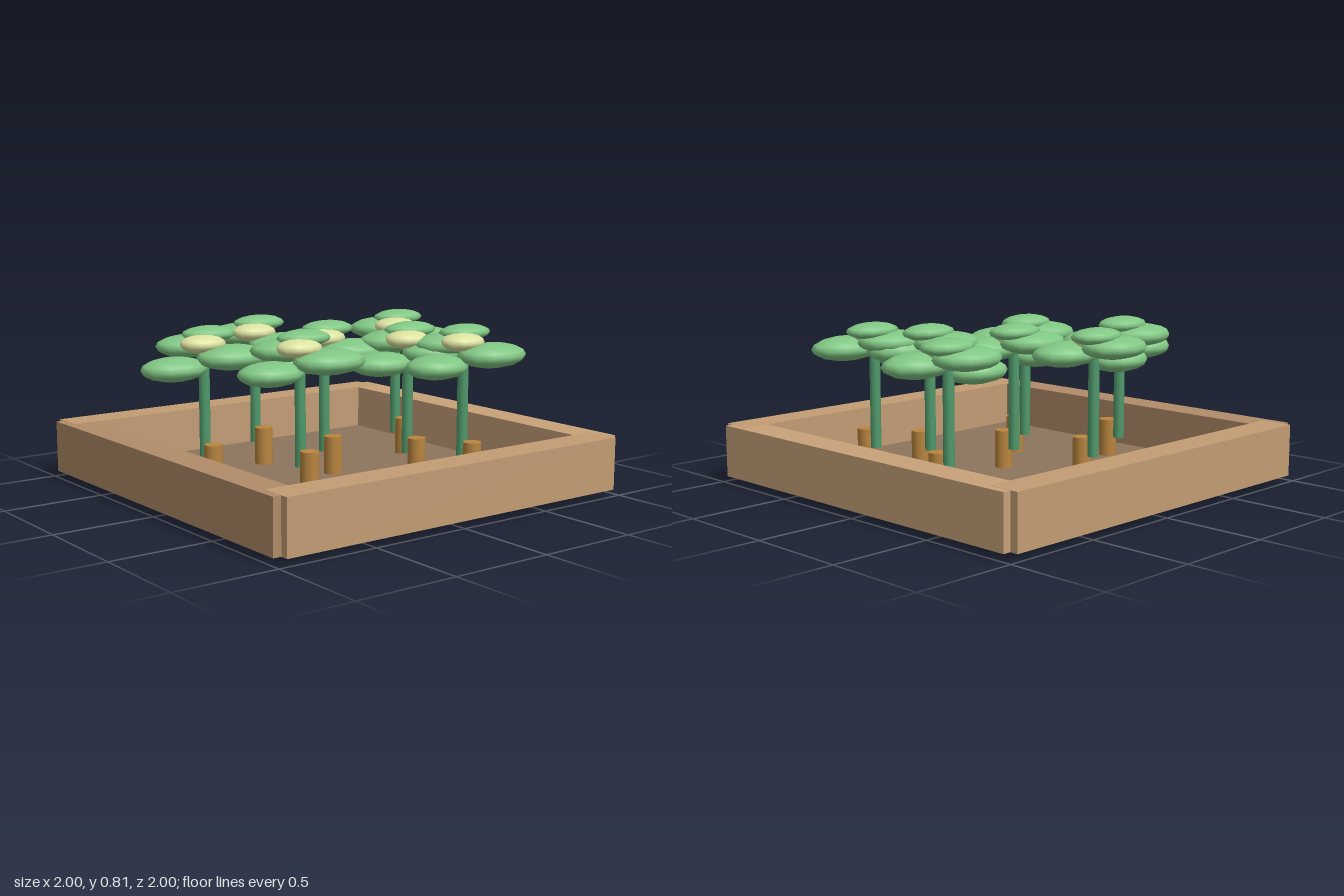
import * as THREE from 'three';

const mat = (color) => new THREE.MeshStandardMaterial({ color });

function add(parent, name, geometry, material, x, y, z) {
  const mesh = new THREE.Mesh(geometry, material);
  mesh.name = name;
  mesh.position.set(x, y, z);
  parent.add(mesh);
  return mesh;
}

export function createModel() {
  const model = new THREE.Group();
  model.name = 'planterBox';

  const wood = mat(0xc29c74), leftWood = mat(0xb08b69), rightWood = mat(0xc8a279);
  const soil = mat(0x8d755d), leafGreen = mat(0x81c784), budYellow = mat(0xdce2a0);
  const stemGreen = mat(0x4f9a6b), stakeWood = mat(0xb9853f);

  // Soil bed, with a narrow gap to the frame
  add(model, 'soilBed', new THREE.BoxGeometry(1.666, 0.07, 1.666), soil, 0, 0.035, 0);

  // Frame boards, overlapping at the corners
  const longBoard = new THREE.BoxGeometry(1.92, 0.256, 0.16);
  const sideBoard = new THREE.BoxGeometry(0.16, 0.255, 1.92);
  add(model, 'frontBoard', longBoard, wood, 0, 0.162, 0.92);
  add(model, 'backBoard', longBoard, wood, 0, 0.162, -0.92);
  add(model, 'leftBoard', sideBoard, rightWood, 0.92, 0.162, 0);
  add(model, 'rightBoard', sideBoard, leftWood, -0.92, 0.162, 0);

  // Shared plant parts
  const ball = new THREE.SphereGeometry(1, 12, 8);
  const stem = new THREE.CylinderGeometry(0.027, 0.027, 0.51, 10);
  const stake = new THREE.CylinderGeometry(0.045, 0.045, 0.2, 12);

  // Leaf pads: centre x, y, z, then radii x, y, z
  const leaves = [
    [-0.16, 0.625, -0.01, 0.167, 0.058, 0.13],
    [0.112, 0.67, 0.08, 0.187, 0.06, 0.135],
    [0, 0.712, -0.125, 0.177, 0.055, 0.138],
    [0.078, 0.767, -0.08, 0.142, 0.04, 0.1],
  ];

  function makePlant(x, z) {
    const plant = new THREE.Group();
    plant.name = 'plant';
    add(plant, 'stem', stem, stemGreen, 0, 0.425, 0);
    add(plant, 'stake', stake, stakeWood, 0, 0.157, 0.073);
    for (const [lx, ly, lz, rx, ry, rz] of leaves) {
      add(plant, 'leaf', ball, leafGreen, lx, ly, lz).scale.set(rx, ry, rz);
    }
    add(plant, 'bud', ball, budYellow, 0, 0.732, -0.01).scale.set(0.118, 0.045, 0.097);
    plant.position.set(x, 0, z);
    model.add(plant);
  }

  // Plant positions on the soil
  const spots = [
    [-0.58, -0.22], [-0.15, -0.425], [0, -0.04], [-0.3, 0.175],
    [0.3, 0.24], [0.45, 0.475], [0.577, -0.19],
  ];
  for (const [x, z] of spots) makePlant(x, z);

  return model;
}
